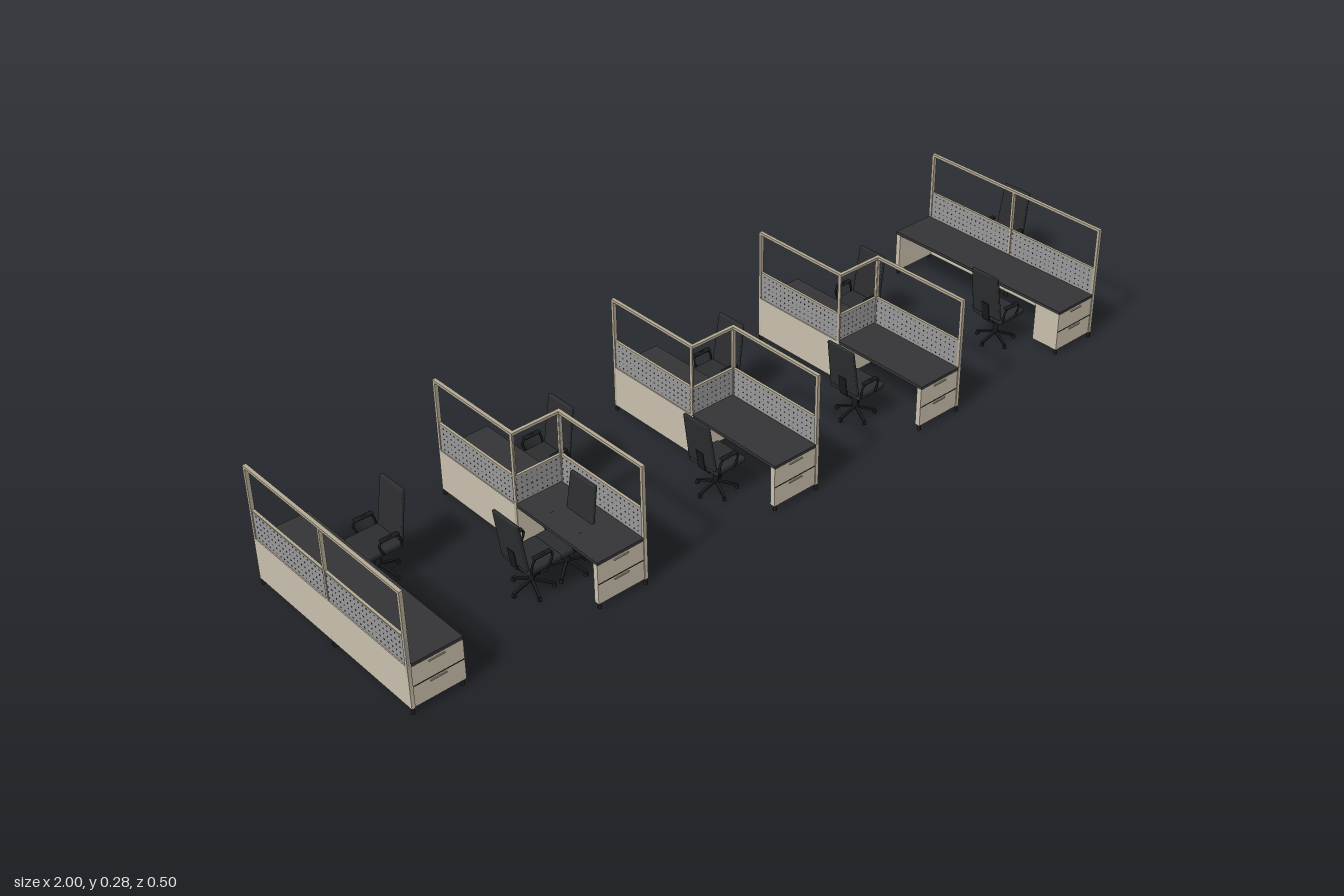
import * as THREE from 'three';
import { mergeGeometries } from 'three/addons/utils/BufferGeometryUtils.js';
import { RoundedBoxGeometry } from 'three/addons/geometries/RoundedBoxGeometry.js';

const mat = (name, color) => {
  const m = new THREE.MeshStandardMaterial({ color });
  m.name = name;
  return m;
};

export function createModel() {
  const tan = mat('tan laminate', 0xc9bfac);
  const frameTan = mat('frame tan', 0xb3a994);
  const mesh = mat('perforated grey', 0x989898);
  const dark = mat('charcoal top', 0x343436);
  const seatMat = mat('chair upholstery', 0x2c2d2f);
  const black = mat('black plastic', 0x1a1b1c);

  const root = new THREE.Group();
  root.name = 'officeWorkstations';

  const add = (parent, name, geo, material, x = 0, y = 0, z = 0) => {
    const m = new THREE.Mesh(geo, material);
    m.name = name;
    m.position.set(x, y, z);
    parent.add(m);
    return m;
  };
  // box given by its two corners
  const box = (parent, name, material, x0, x1, y0, y1, z0, z1) =>
    add(parent, name, new THREE.BoxGeometry(Math.abs(x1 - x0), y1 - y0, Math.abs(z1 - z0)),
      material, (x0 + x1) / 2, (y0 + y1) / 2, (z0 + z1) / 2);

  const FULL = 0.25, DEPTH = 0.12, T = 0.008, TOP = 0.112, SCREEN = 0.177, HIGH = 0.277;

  // framed divider of a given length, running along local +z from the origin
  function divider(length, lowerPanel) {
    const g = new THREE.Group();
    g.name = 'divider';
    const h = T / 2;
    if (lowerPanel) box(g, 'lowerPanel', tan, -h, h, 0.013, 0.11, 0, length);
    box(g, 'perforatedScreen', mesh, -0.002, 0.002, 0.11, SCREEN - 0.003, 0, length);
    const dots = [];
    const n = Math.round(length / 0.0125);
    for (let i = 0; i < n; i++) for (let j = 0; j < 5; j++) {
      const d = new THREE.BoxGeometry(0.005, 0.0025, 0.0025);
      d.translate(0, 0.118 + j * 0.0125, (i + 0.5) * length / n);
      dots.push(d);
    }
    add(g, 'screenHoles', mergeGeometries(dots), dark);
    box(g, 'screenRail', frameTan, -0.003, 0.003, SCREEN - 0.003, SCREEN, 0, length);
    box(g, 'topRail', frameTan, -h, h, HIGH - 0.006, HIGH, 0, length);
    for (const [z0, z1] of [[0, 0.003], [length - 0.007, length]]) {
      box(g, 'post', frameTan, -h, h, 0.013, HIGH, z0, z1);
      add(g, 'foot', new THREE.CylinderGeometry(0.003, 0.0045, 0.014, 8), black, 0, 0.007, (z0 + z1) / 2);
    }
    return g;
  }

  // one desk half: divider at xPanel, top reaching in dir, on the side of z given by zs
  function deskHalf(parent, xPanel, dir, zs, pedestal) {
    const g = new THREE.Group();
    g.name = 'desk';
    parent.add(g);
    const d = divider(FULL, true);
    d.position.x = xPanel + dir * T / 2;
    if (zs < 0) d.rotation.y = Math.PI;
    g.add(d);
    const xa = xPanel + dir * T, xb = xPanel + dir * DEPTH;
    box(g, 'deskTop', dark, xa, xb, 0.105, TOP, 0, zs * 0.249);
    // end panel with drawer seams and pulls
    const zIn = zs * (FULL - (pedestal ? 0.07 : 0.014)), zOut = zs * (FULL - 0.002);
    box(g, 'endCabinet', tan, xa, xb, 0.013, 0.105, zIn, zOut);
    box(g, 'drawerSeam', black, xa, xb, 0.059, 0.0605, zOut, zs * (FULL - 0.0012));
    for (const y of [0.052, 0.097])
      box(g, 'drawerPull', frameTan, xPanel + dir * 0.045, xPanel + dir * 0.08, y, y + 0.003, zOut, zs * FULL);
    add(g, 'foot', new THREE.CylinderGeometry(0.003, 0.0045, 0.014, 8), black, xb - dir * 0.006, 0.007, zs * 0.243);
  }

  // single-sided desks closing the row at both ends
  for (const [x, dir] of [[-1, 1], [0.862, -1]])
    for (const zs of [1, -1]) deskHalf(root, x, dir, zs, zs === -dir);

  // staggered double desks with a cross divider between the halves
  for (const x of [-0.575, -0.123, 0.298]) {
    const g = new THREE.Group();
    g.name = 'doubleDesk';
    root.add(g);
    deskHalf(g, x + DEPTH, -1, 1, false);
    deskHalf(g, x, 1, -1, false);
    const cross = divider(DEPTH, true);
    cross.rotation.y = Math.PI / 2;
    cross.position.x = x;
    g.add(cross);
  }

  // swivel chair facing -x
  const armCurve = new THREE.CatmullRomCurve3([
    [0.03, 0.078], [0.026, 0.098], [0.016, 0.108], [-0.012, 0.108], [-0.02, 0.1], [-0.012, 0.076],
  ].map(([x, y]) => new THREE.Vector3(x, y, 0)));
  function chair(x, z, facing) {
    const g = new THREE.Group();
    g.name = 'chair';
    add(g, 'seat', new RoundedBoxGeometry(0.08, 0.014, 0.084, 2, 0.005), seatMat, -0.005, 0.076, 0);
    // backrest narrows and leans back toward the top
    const geo = new RoundedBoxGeometry(0.008, 0.112, 0.08, 2, 0.003);
    const p = geo.attributes.position;
    for (let i = 0; i < p.count; i++) {
      const t = p.getY(i) / 0.112 + 0.5;
      p.setX(i, p.getX(i) + 0.016 * t - 0.004 * Math.sin(t * Math.PI));
      p.setZ(i, p.getZ(i) * (1 - 0.07 * t));
    }
    geo.computeVertexNormals();
    add(g, 'backrest', geo, seatMat, 0.034, 0.137, 0);
    const spine = box(g, 'backSupport', black, 0.036, 0.041, 0.07, 0.115, -0.01, 0.01);
    spine.rotation.z = -0.14;
    box(g, 'tiltMechanism', black, -0.016, 0.03, 0.062, 0.07, -0.014, 0.014);
    for (const s of [-1, 1]) {
      add(g, 'armLoop', new THREE.TubeGeometry(armCurve, 20, 0.0025, 6), black, 0, 0, s * 0.044);
      add(g, 'armPad', new RoundedBoxGeometry(0.042, 0.005, 0.011, 1, 0.002), black, 0.004, 0.109, s * 0.0435);
    }
    add(g, 'gasLift', new THREE.CylinderGeometry(0.003, 0.003, 0.03, 10), black, 0, 0.053, 0);
    add(g, 'column', new THREE.CylinderGeometry(0.006, 0.006, 0.027, 10), black, 0, 0.033, 0);
    for (let i = 0; i < 5; i++) {
      const arm = new THREE.Group();
      arm.name = 'baseArm';
      arm.rotation.y = i * Math.PI * 0.4;
      g.add(arm);
      const leg = add(arm, 'leg', new THREE.BoxGeometry(0.045, 0.004, 0.006), black, 0.023, 0.016, 0);
      leg.rotation.z = -0.3;
      const wheel = add(arm, 'caster', new THREE.CylinderGeometry(0.0045, 0.0045, 0.006, 10), black, 0.043, 0.0045, 0);
      wheel.rotation.x = Math.PI / 2;
    }
    g.position.set(x, 0, z);
    if (facing > 0) g.rotation.y = Math.PI;
    root.add(g);
  }
  const REAR = -0.123, FRONT = 0.112;
  for (const x of [-0.815, -0.41, 0.051, 0.479]) chair(x, REAR, -1);
  for (const x of [-0.628, -0.158, 0.243, 0.692]) chair(x, FRONT, 1);
  chair(-0.542, FRONT, -1);
  chair(0.946, -0.102, -1);

  return root;
}
